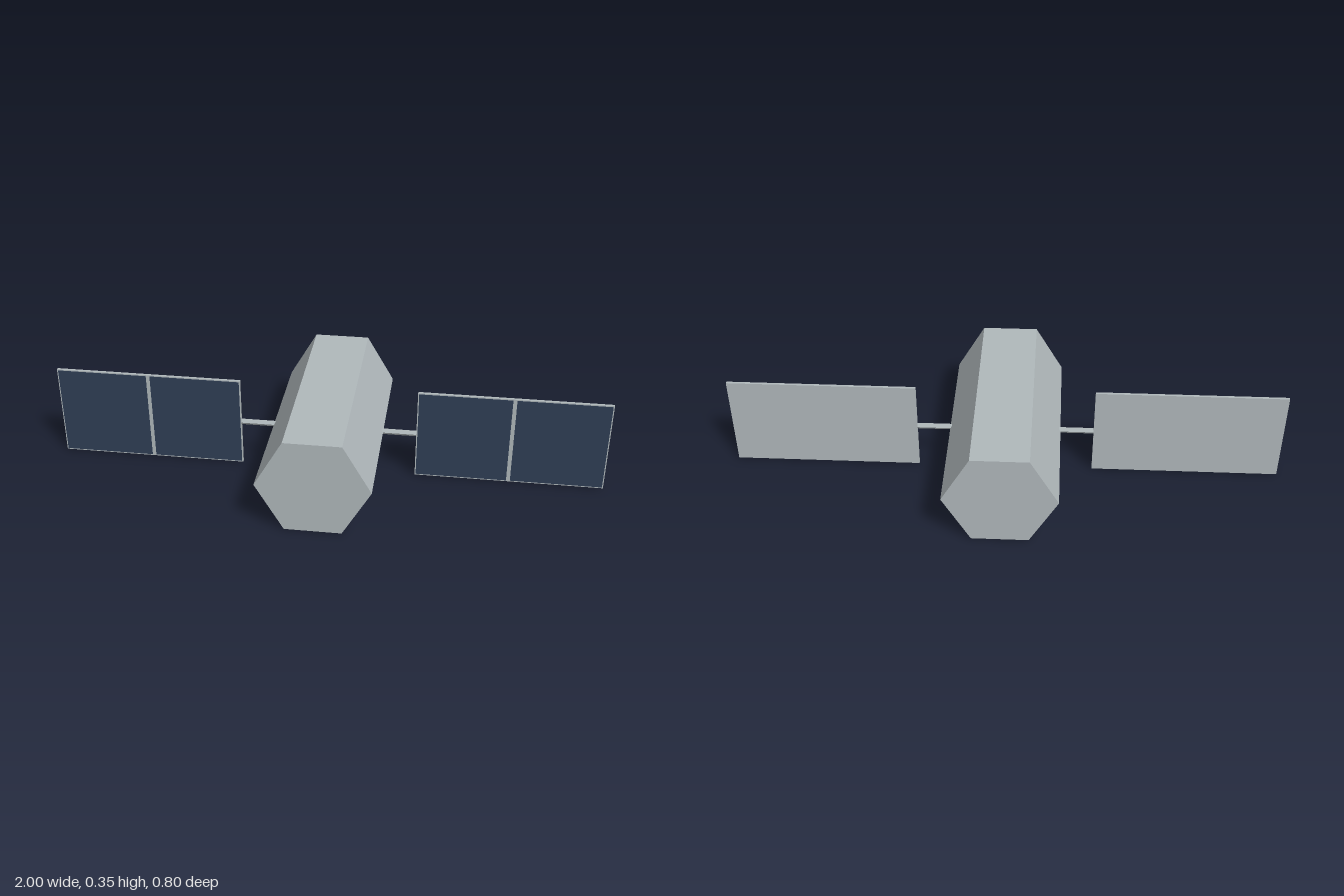
import * as THREE from 'three';

export function createModel() {
  const model = new THREE.Group();
  const metal = new THREE.MeshStandardMaterial({ color: 0xb0b8bb, flatShading: true });
  metal.name = 'grey metal';
  const cellBlue = new THREE.MeshStandardMaterial({ color: 0x2f3e55, flatShading: true });
  cellBlue.name = 'dark blue cells';

  const R = 0.2;
  const midY = R * Math.sqrt(3) / 2;

  const add = (parent, name, geometry, material, x, y, z) => {
    const mesh = new THREE.Mesh(geometry, material);
    mesh.name = name;
    mesh.position.set(x, y, z);
    parent.add(mesh);
  };

  // Hexagonal body lying along z, with flat top and bottom
  const hull = new THREE.CylinderGeometry(R, R, 0.8, 6).rotateY(Math.PI / 2).rotateX(Math.PI / 2);
  add(model, 'body', hull, metal, 0, midY, 0);

  // One wing on each side: strut, backing panel and two cell plates
  for (const side of [1, -1]) {
    const wing = new THREE.Group();
    wing.name = side > 0 ? 'leftWing' : 'rightWing';
    const strut = new THREE.CylinderGeometry(0.01, 0.01, 0.14, 6).rotateZ(Math.PI / 2);
    add(wing, 'strut', strut, metal, side * 0.25, midY + 0.002, 0);
    add(wing, 'panel', new THREE.BoxGeometry(0.68, 0.342, 0.01), metal, side * 0.66, midY, 0);
    for (const x of [0.4885, 0.8315]) {
      add(wing, 'solarCells', new THREE.BoxGeometry(0.329, 0.334, 0.002), cellBlue, side * x, midY, 0.005);
    }
    model.add(wing);
  }
  return model;
}
